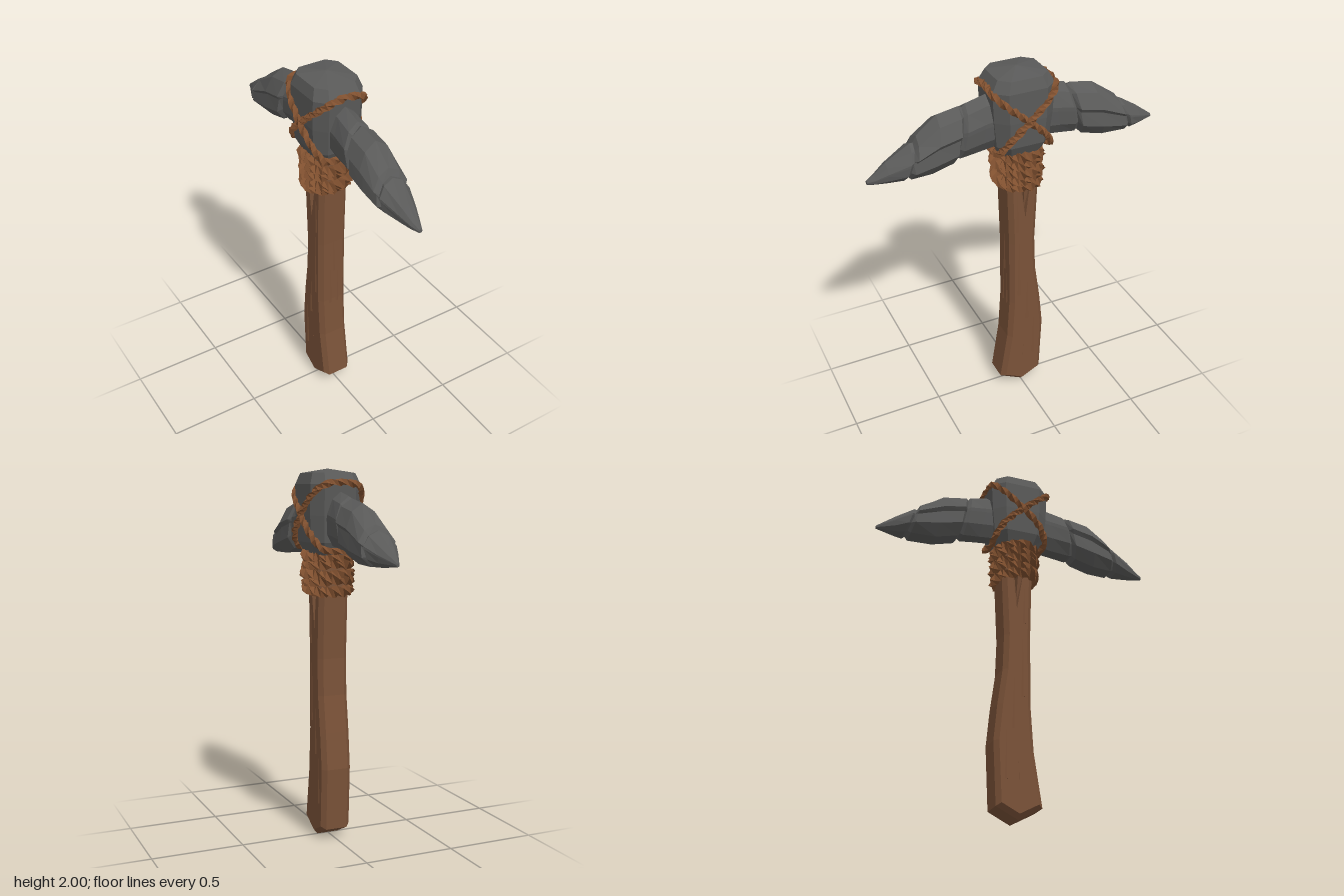
import * as THREE from 'three';

const stone = new THREE.MeshStandardMaterial({ color: 0x5a5a59 });
const wood = new THREE.MeshStandardMaterial({ color: 0x7a5238 });
const cord = new THREE.MeshStandardMaterial({ color: 0x80502f });
stone.name = 'stone';
wood.name = 'wood';
cord.name = 'cord';

// Small seeded random, -1 to 1
let seed = 7;
const jitter = () => {
  seed = (seed * 16807) % 2147483647;
  return (seed / 2147483647) * 2 - 1;
};

// Faceted skin over rings of [x, y, z]; rings run anticlockwise about the direction of travel
function skin(rings, loop = false) {
  const pos = [];
  const n = rings[0].length;
  const tri = (a, b, c) => pos.push(...a, ...b, ...c);
  const count = loop ? rings.length : rings.length - 1;
  for (let j = 0; j < count; j++) {
    const r = rings[j], s = rings[(j + 1) % rings.length];
    for (let i = 0; i < n; i++) {
      const k = (i + 1) % n;
      tri(r[i], r[k], s[k]);
      tri(r[i], s[k], s[i]);
    }
  }
  if (!loop) {
    const mid = (r) => [0, 1, 2].map((a) => r.reduce((t, p) => t + p[a], 0) / n);
    const first = rings[0], last = rings[rings.length - 1];
    const c0 = mid(first), c1 = mid(last);
    for (let i = 0; i < n; i++) {
      const k = (i + 1) % n;
      tri(c0, first[k], first[i]);
      tri(c1, last[i], last[k]);
    }
  }
  const geo = new THREE.BufferGeometry();
  geo.setAttribute('position', new THREE.Float32BufferAttribute(pos, 3));
  geo.computeVertexNormals();
  return geo;
}

function add(parent, name, geo, mat) {
  const mesh = new THREE.Mesh(geo, mat);
  mesh.name = name;
  parent.add(mesh);
  return mesh;
}

// Closed twisted cord through the given points
function cordLoop(points, radius, segs, turns, rough) {
  const curve = new THREE.CatmullRomCurve3(points, true);
  const frames = curve.computeFrenetFrames(segs, true);
  const rings = [];
  for (let j = 0; j < segs; j++) {
    const c = curve.getPointAt(j / segs);
    const ring = [];
    for (let i = 0; i < 4; i++) {
      const a = (i / 4 + (turns * j) / segs) * Math.PI * 2;
      const r = radius * (1 + rough * jitter());
      const p = c.clone()
        .addScaledVector(frames.normals[j], Math.cos(a) * r)
        .addScaledVector(frames.binormals[j], Math.sin(a) * r);
      ring.push(p.toArray());
    }
    rings.push(ring);
  }
  return skin(rings, true);
}

// Pick arm along +z; stations are [z, bottom, top, half width, side crack depth]
function armGeometry(stations) {
  return skin(stations.map(([z, b, t, w, crack]) => {
    const h = t - b;
    const half = [
      [0.45 * w, b], [0.92 * w, b + 0.22 * h], [w - crack, b + 0.5 * h],
      [w, b + 0.58 * h], [0.62 * w, b + 0.86 * h],
    ];
    const left = half.map(([x, y]) => [-x, y]).reverse();
    // lower points lean outward so the cracks run at a slant
    return [...half, [0, t], ...left].map(([x, y]) => [x, y, z + (z < 0.7 ? (0.5 - (y - b) / h) * 0.05 : 0)]);
  }));
}

export function createModel() {
  const model = new THREE.Group();
  model.name = 'stonePickaxe';

  // Wooden handle: side outline (z, y) with a knot hole and a split
  const v = (list) => list.map(([x, y]) => new THREE.Vector2(x, y));
  const outline = new THREE.Shape(v([
    [0, 0], [-0.12, 0.06], [-0.135, 0.4], [-0.115, 0.6], [-0.087, 0.8], [-0.08, 1], [-0.095, 1.34], [-0.09, 1.57],
    [0.08, 1.57], [0.08, 1.34], [0.07, 1], [0.07, 0.6], [0.085, 0.36], [0.13, 0.07],
  ]));
  outline.holes.push(new THREE.Path(v([[0.022, 0.19], [0, 0.17], [-0.028, 0.19], [-0.008, 0.34]])));
  outline.holes.push(new THREE.Path(v([[0.001, 1.38], [-0.021, 1.38], [-0.014, 1.19]])));
  const bevel = 0.024;
  const handleGeo = new THREE.ExtrudeGeometry(outline, {
    depth: 0.168 - 2 * bevel, bevelEnabled: true, bevelSegments: 1,
    bevelThickness: bevel, bevelSize: bevel, bevelOffset: -bevel,
  });
  handleGeo.translate(0, 0, bevel - 0.084);
  handleGeo.rotateY(-Math.PI / 2);
  add(model, 'handle', handleGeo, wood);

  // Raised grain slivers: [across, y, length], lying on the handle faces
  const sliver = (len) => {
    const g = new THREE.ConeGeometry(0.011, len, 4).toNonIndexed();
    g.scale(1, 1, 0.4);
    g.computeVertexNormals();
    return g;
  };
  const grain = new THREE.Group();
  grain.name = 'woodGrain';
  model.add(grain);
  for (const side of [-1, 1]) {
    for (const [z, y, len] of [[0.02, 0.85, 0.4], [-0.03, 0.62, 0.3], [0.03, 1.2, 0.25], [-0.07, 0.35, 0.3]]) {
      const m = add(grain, 'grainSide', sliver(len), wood);
      m.rotation.y = Math.PI / 2;
      m.position.set(side * 0.084, y, z);
    }
  }
  for (const [x, y, len] of [[-0.02, 0.75, 0.35], [0.025, 0.7, 0.25], [0, 0.95, 0.3]]) {
    add(grain, 'grainFront', sliver(len), wood).position.set(x, y, 0.07);
  }

  // Stone head block: chamfered octagon rings [y, half x, half z]
  const block = [
    [1.555, 0.1, 0.115], [1.62, 0.132, 0.145], [1.76, 0.142, 0.16],
    [1.92, 0.142, 0.168], [1.978, 0.122, 0.135], [2, 0.006, 0.006],
  ].map(([y, x, z]) => {
    const a = x * 0.62, b = z * 0.62;
    return [[a, z], [x, b], [x, -b], [a, -z], [-a, -z], [-x, -b], [-x, b], [-a, z]].map(([px, pz]) => [px, y, pz]);
  });
  add(model, 'headBlock', skin(block), stone);

  // Pick arms, each cut into chunks by narrow cracks
  add(model, 'frontArm', armGeometry([
    [0.05, 1.61, 1.9, 0.078, 0], [0.2, 1.59, 1.88, 0.08, 0], [0.3, 1.58, 1.855, 0.088, 0],
    [0.318, 1.59, 1.838, 0.07, 0], [0.335, 1.565, 1.848, 0.1, 0.014], [0.45, 1.535, 1.828, 0.102, 0.016],
    [0.56, 1.53, 1.74, 0.096, 0.014], [0.578, 1.545, 1.705, 0.074, 0], [0.596, 1.53, 1.705, 0.085, 0],
    [0.7, 1.528, 1.63, 0.05, 0], [0.76, 1.53, 1.58, 0.028, 0], [0.8, 1.535, 1.555, 0.01, 0],
  ]), stone);
  add(model, 'backArm', armGeometry([
    [0.05, 1.61, 1.9, 0.074, 0], [0.2, 1.595, 1.88, 0.075, 0], [0.29, 1.585, 1.86, 0.082, 0],
    [0.308, 1.595, 1.84, 0.07, 0], [0.325, 1.57, 1.85, 0.1, 0.014], [0.45, 1.535, 1.828, 0.1, 0.016],
    [0.59, 1.53, 1.73, 0.1, 0.012], [0.606, 1.545, 1.7, 0.076, 0], [0.622, 1.532, 1.7, 0.088, 0],
    [0.7, 1.532, 1.635, 0.055, 0], [0.76, 1.538, 1.59, 0.026, 0], [0.8, 1.542, 1.56, 0.008, 0],
  ]), stone).rotation.y = Math.PI;

  // Two diagonal lashings crossing on the sides of the head
  const half = [
    [0.1, 1.91, 0.165], [0.138, 1.855, 0.108], [0.15, 1.76, 0], [0.14, 1.665, -0.1], [0.095, 1.59, -0.145],
  ];
  for (const dir of [1, -1]) {
    const out = dir === 1 ? 0 : 0.005;
    const pts = [
      [0, 1.93, 0.168], ...half, [0, 1.575, -0.14],
      ...half.map(([x, y, z]) => [-x, y, z]).reverse(),
    ].map(([x, y, z]) => new THREE.Vector3(x + Math.sign(x) * out, y, z * dir));
    add(model, 'headLashing', cordLoop(pts, 0.02, 52, 5, 0.12), cord);
  }

  // Coiled binding below the head: [y, radius x, radius z, tilt]
  const coils = [
    [1.37, 0.112, 0.108, 0.01], [1.41, 0.113, 0.112, -0.014], [1.455, 0.12, 0.11, 0.012],
    [1.5, 0.113, 0.115, -0.01], [1.545, 0.116, 0.11, 0.01],
  ];
  for (const [y, rx, rz, tilt] of coils) {
    const pts = [];
    for (let i = 0; i < 12; i++) {
      const a = (i / 12) * Math.PI * 2;
      pts.push(new THREE.Vector3(
        Math.sin(a) * rx * (1 + 0.03 * jitter()), y + tilt * Math.cos(a), Math.cos(a) * rz * (1 + 0.03 * jitter()) - 0.003));
    }
    add(model, 'handleBinding', cordLoop(pts, 0.033, 26, 3, 0.15), cord);
  }
  return model;
}
